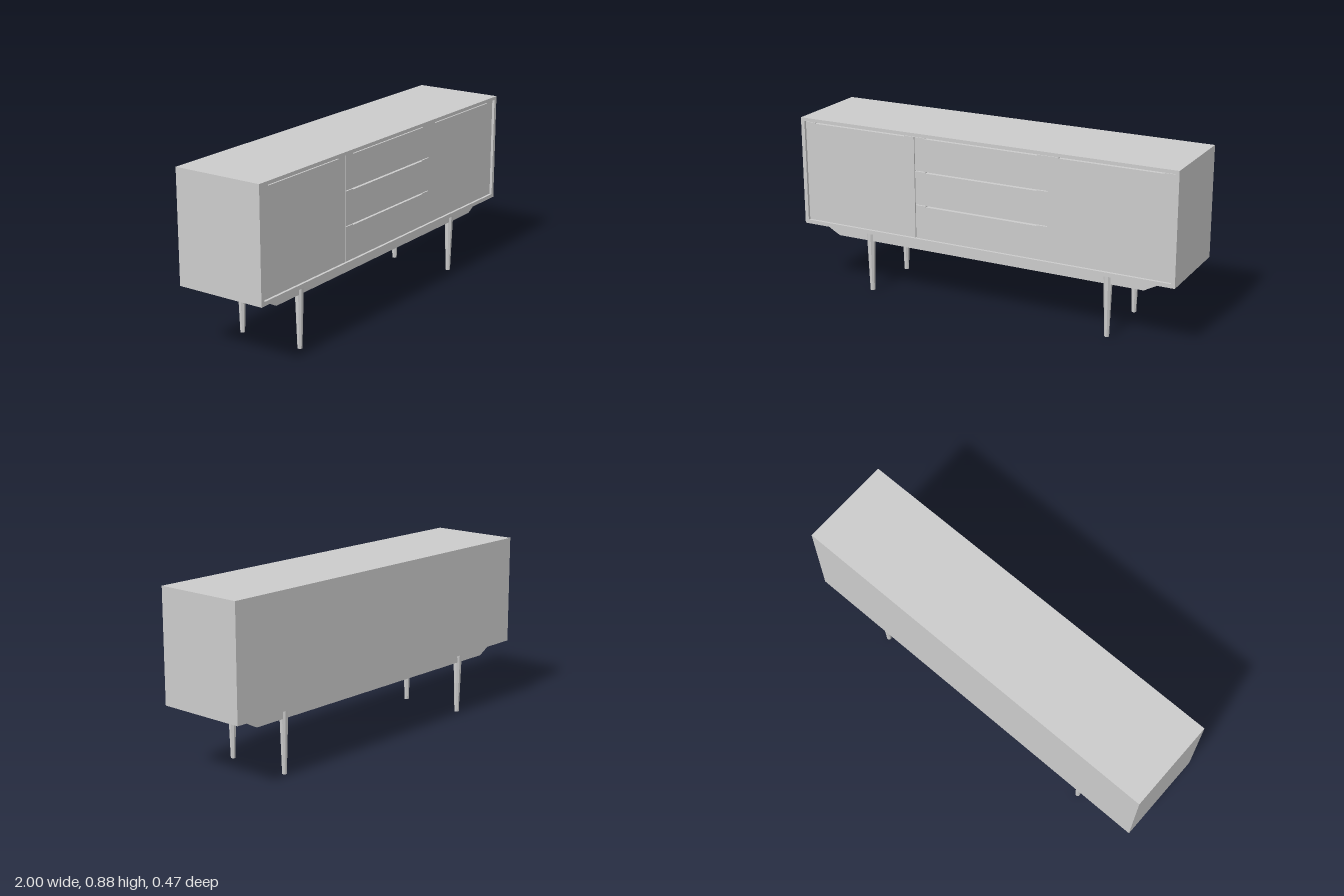
import * as THREE from 'three';

const material = new THREE.MeshStandardMaterial({ color: 0xcccccc, flatShading: true });

function add(parent, name, geometry, x = 0, y = 0, z = 0) {
  const mesh = new THREE.Mesh(geometry, material);
  mesh.name = name;
  mesh.position.set(x, y, z);
  parent.add(mesh);
  return mesh;
}

function polygon(points) {
  return new THREE.Shape(points.map(([x, y]) => new THREE.Vector2(x, y)));
}

function extrude(shape, depth) {
  return new THREE.ExtrudeGeometry(shape, { depth, bevelEnabled: false });
}

const rect = (x0, x1, y0, y1) => [[x0, y0], [x1, y0], [x1, y1], [x0, y1]];

// Cabinet dimensions
const BOTTOM = 0.325, TOP = 0.88, HALF_DEPTH = 0.233, BOARD = 0.02;
const FACE = HALF_DEPTH - 0.013; // recessed front plane
const SPLIT = 0.355;             // edge between doors and drawers

// Door or drawer front with a shallow finger pull cut in its top edge
function frontPanel(x0, x1, y0, y1) {
  const inset = 0.055, dip = 0.004;
  const shape = polygon([
    [x0, y0], [x1, y0], [x1, y1],
    [x1 - inset, y1], [x1 - inset, y1 - dip],
    [x0 + inset, y1 - dip], [x0 + inset, y1], [x0, y1],
  ]);
  return extrude(shape, 0.02);
}

export function createModel() {
  const model = new THREE.Group();
  model.name = 'sideboard';

  // Outer case: four boards as one ring, closed by a back
  const cabinet = new THREE.Group();
  cabinet.name = 'cabinet';
  model.add(cabinet);
  const ring = polygon(rect(-1, 1, BOTTOM, TOP));
  ring.holes.push(polygon(rect(-1 + BOARD, 1 - BOARD, BOTTOM + BOARD, TOP - BOARD + 0.003)));
  add(cabinet, 'case', extrude(ring, 2 * HALF_DEPTH - 0.012), 0, 0, -HALF_DEPTH + 0.012);
  add(cabinet, 'back', new THREE.BoxGeometry(2, TOP - BOTTOM, 0.012),
    0, (TOP + BOTTOM) / 2, -HALF_DEPTH + 0.006);

  // Doors on both sides, three drawers between them
  const low = BOTTOM + BOARD, high = 0.857, side = 1 - BOARD, gap = 0.004;
  const z = FACE - 0.02;
  add(cabinet, 'rightDoor', frontPanel(-side, -SPLIT - gap / 2, low, high), 0, 0, z);
  add(cabinet, 'leftDoor', frontPanel(SPLIT, side, low, high), 0, 0, z);
  const drawerEdges = [low, 0.516, 0.688, high + gap / 2];
  for (let i = 0; i < 3; i++) {
    const bottom = drawerEdges[i] + (i ? gap / 2 : 0);
    const top = drawerEdges[i + 1] - gap / 2;
    add(cabinet, 'drawerFront', frontPanel(-SPLIT + gap / 2, SPLIT, bottom, top), 0, 0, z);
  }

  // Long rails with sloped ends, each carrying two tapered legs
  const rail = polygon([
    [-0.89, BOTTOM], [-0.89, 0.3], [-0.83, 0.268],
    [0.83, 0.268], [0.89, 0.3], [0.89, BOTTOM],
  ].reverse());
  const flat = Math.cos(Math.PI / 8); // flats of the octagon face the axes
  for (const s of [1, -1]) {
    const base = new THREE.Group();
    base.name = s > 0 ? 'frontBase' : 'backBase';
    base.position.z = s * 0.169;
    model.add(base);
    add(base, 'rail', extrude(rail, 0.022), 0, 0, -0.011);
    for (const x of [-0.648, 0.648]) {
      const leg = new THREE.CylinderGeometry(0.021 / flat, 0.011 / flat, BOTTOM, 8);
      leg.rotateY(Math.PI / 8);
      add(base, 'leg', leg, x, BOTTOM / 2, 0);
    }
  }
  return model;
}
